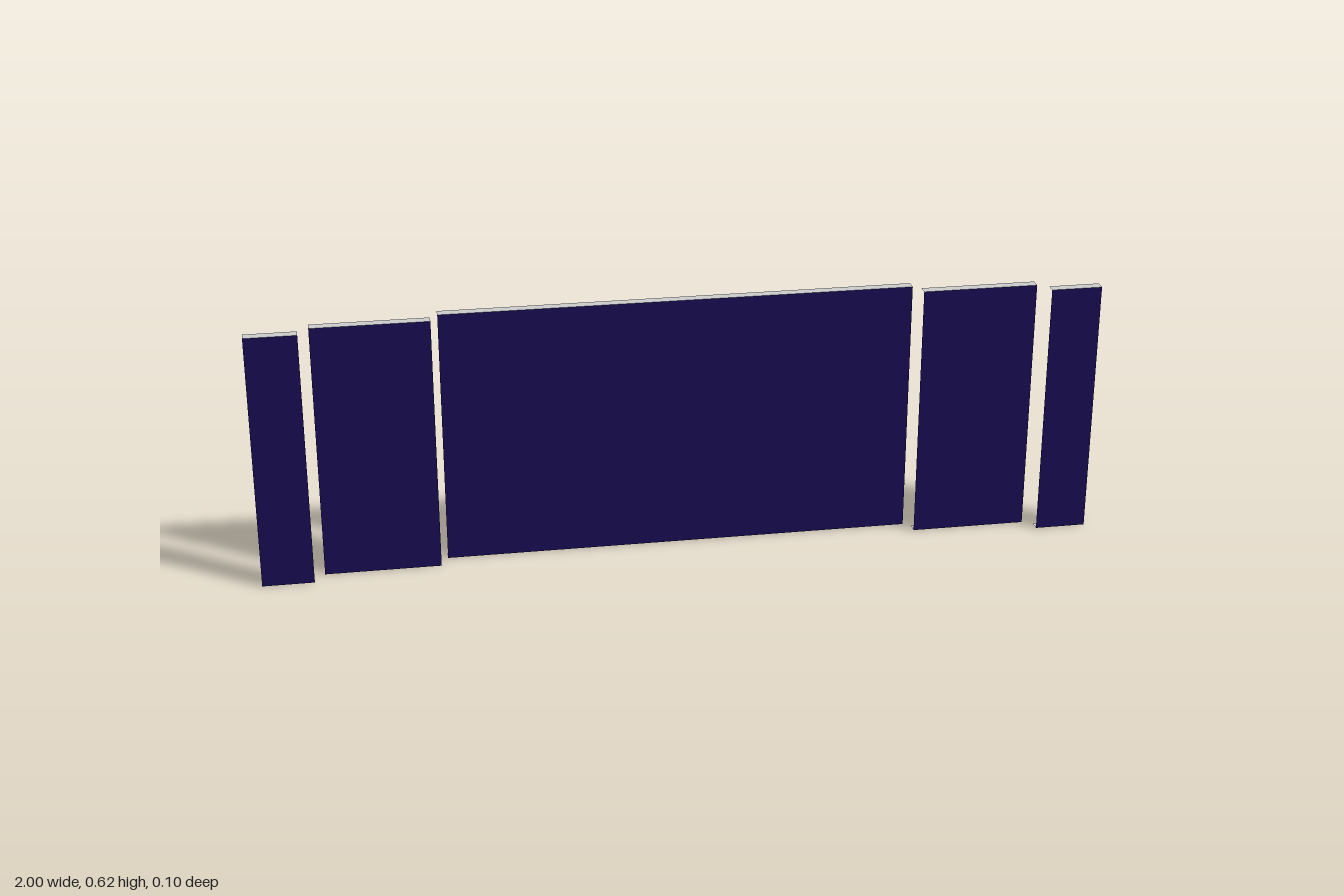
import * as THREE from 'three';

const HEIGHT = 0.624;
const DEPTH = 0.025;

export function createModel() {
  const model = new THREE.Group();
  const face = new THREE.MeshStandardMaterial({ color: 0x180d52, side: THREE.DoubleSide });
  const rim = new THREE.MeshStandardMaterial({ color: 0xcccccc, side: THREE.DoubleSide });

  // Open-backed panel: coloured front sheet with thin top and bottom rims, plus an optional end rim
  function addPanel(name, x0, x1, zFront, endSide = 0) {
    const panel = new THREE.Group();
    panel.name = name;
    panel.position.set((x0 + x1) / 2, HEIGHT / 2, zFront);
    const width = x1 - x0;

    const sheet = (part, w, h, material) => {
      const mesh = new THREE.Mesh(new THREE.PlaneGeometry(w, h), material);
      mesh.name = part;
      panel.add(mesh);
      return mesh;
    };

    sheet('frontSheet', width, HEIGHT, face);
    for (const s of [1, -1]) {
      const edge = sheet(s > 0 ? 'topRim' : 'bottomRim', width, DEPTH, rim);
      edge.rotation.x = -s * Math.PI / 2;
      edge.position.set(0, s * HEIGHT / 2, -DEPTH / 2);
    }
    if (endSide) {
      const end = sheet('endRim', DEPTH, HEIGHT, rim);
      end.rotation.y = endSide * Math.PI / 2;
      end.position.set(endSide * width / 2, 0, -DEPTH / 2);
    }
    model.add(panel);
  }

  // Wide rear panel in the centre
  addPanel('centrePanel', -0.56, 0.56, -0.025);

  // Stepped side panels, mirrored left and right
  for (const s of [1, -1]) {
    const side = s > 0 ? 'left' : 'right';
    const span = (a, b) => (s > 0 ? [a, b] : [-b, -a]);
    addPanel(side + 'MiddlePanel', ...span(0.578, 0.853), 0.0125);
    addPanel(side + 'OuterPanel', ...span(0.878, 1), 0.05, s);
  }

  return model;
}
